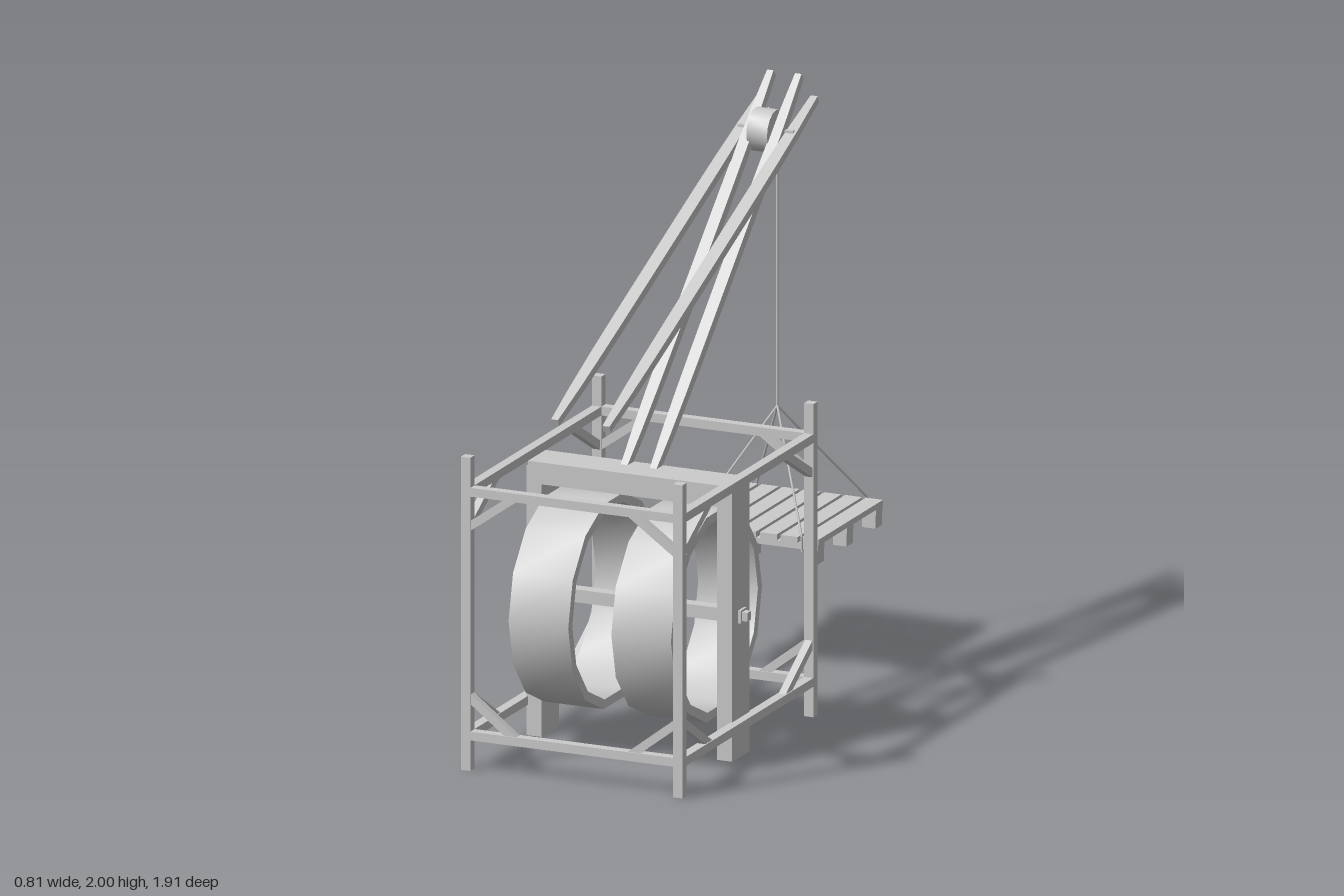
import * as THREE from 'three';
import { toCreasedNormals } from 'three/addons/utils/BufferGeometryUtils.js';

const grey = new THREE.MeshStandardMaterial({ color: 0xcccccc });

export function createModel() {
  const root = new THREE.Group();
  root.name = 'treadwheelCrane';

  const group = (name) => {
    const g = new THREE.Group();
    g.name = name;
    root.add(g);
    return g;
  };
  const add = (parent, name, geo, x = 0, y = 0, z = 0) => {
    const m = new THREE.Mesh(geo, grey);
    m.name = name;
    m.position.set(x, y, z);
    parent.add(m);
    return m;
  };
  const box = (parent, name, w, h, d, x, y, z) =>
    add(parent, name, new THREE.BoxGeometry(w, h, d), x, y, z);
  // Aims a geometry lying along z from point a to point b
  const span = (parent, name, geo, a, b) => {
    const p = new THREE.Vector3(...a), q = new THREE.Vector3(...b);
    const m = add(parent, name, geo);
    m.position.copy(p).add(q).multiplyScalar(0.5);
    m.lookAt(q);
    return m;
  };
  const dist = (a, b) => Math.hypot(a[0] - b[0], a[1] - b[1], a[2] - b[2]);
  const bar = (parent, name, a, b, w, h) =>
    span(parent, name, new THREE.BoxGeometry(w, h, dist(a, b)), a, b);
  const rope = (parent, name, a, b) =>
    span(parent, name, new THREE.CylinderGeometry(0.004, 0.004, dist(a, b), 6).rotateX(Math.PI / 2), a, b);
  // Pole that narrows towards both ends
  const pole = (parent, name, a, b, w, h) => {
    const len = dist(a, b);
    const geo = new THREE.BoxGeometry(w, h, len, 1, 1, 10);
    const p = geo.attributes.position;
    for (let i = 0; i < p.count; i++) {
      const t = Math.abs(p.getZ(i)) / (len / 2);
      const s = 1 - 0.45 * t ** 4;
      p.setXYZ(i, p.getX(i) * s, p.getY(i) * (1 - 0.15 * t ** 4), p.getZ(i));
    }
    geo.computeVertexNormals();
    return span(parent, name, geo, a, b);
  };

  // Outer frame: corner posts, rails and corner braces
  const frame = group('frame');
  const X = 0.384, ZF = 0.936, ZB = -0.1, T = 0.034;
  const zMid = (ZF + ZB) / 2;
  for (const s of [-1, 1]) {
    for (const [z, inward] of [[ZF, -1], [ZB, 1]]) {
      box(frame, 'cornerPost', T, 1.075, T, s * X, 0.5375, z);
      for (const [rail, drop] of [[0.957, -0.122], [0.12, 0.132]]) {
        bar(frame, 'endBrace', [s * 0.376, rail + drop, z], [s * 0.205, rail, z], 0.026, 0.028);
        bar(frame, 'sideBrace', [s * X, rail + drop, z + inward * 0.008],
          [s * X, rail, z + inward * 0.225], 0.026, 0.028);
      }
    }
    for (const y of [0.957, 0.12]) box(frame, 'sideRail', T, 0.03, ZF - ZB, s * X, y, zMid);
  }
  for (const z of [ZF, ZB])
    for (const y of [0.957, 0.12]) box(frame, 'endRail', 2 * X, 0.03, T, 0, y, z);

  // Heavy central portal that carries the axle
  const portal = group('portal');
  const PZ = 0.428;
  for (const s of [-1, 1]) {
    box(portal, 'portalPost', 0.055, 0.925, 0.138, s * 0.345, 0.4625, PZ);
    box(portal, 'axleEnd', 0.03, 0.03, 0.03, s * 0.388, 0.485, PZ);
  }
  box(portal, 'portalBeam', 0.735, 0.075, 0.138, 0, 0.905, PZ);
  box(portal, 'axle', 0.765, 0.044, 0.046, 0, 0.485, PZ);

  // Pair of fourteen-sided hollow treadwheels
  const wheels = group('treadwheels');
  const R = 0.36, r = 0.328, half = 0.108;
  const profile = [[r, half], [r, -half], [R, -half], [R, half], [r, half]]
    .map(([a, b]) => new THREE.Vector2(a, b));
  const wheelGeo = toCreasedNormals(new THREE.LatheGeometry(profile, 14).rotateZ(Math.PI / 2), 0.6);
  for (const s of [-1, 1]) add(wheels, 'treadwheel', wheelGeo, s * 0.186, 0.485, 0.45);

  // Boom: steep inner jibs and shallower outer poles
  const boom = group('boom');
  for (const [s, foot, tip] of [[-1, -0.06, -0.048], [1, 0.045, 0.053]]) {
    pole(boom, 'innerJib', [foot, 0.915, 0.415], [tip, 1.985, -0.733], 0.042, 0.034);
    pole(boom, 'outerPole', [s * 0.093, 1.21, 0.88], [s * 0.09, 1.9, -0.773], 0.046, 0.03);
  }

  // Pulley at the crossing of the poles
  const pulleyGeo = new THREE.CylinderGeometry(0.073, 0.073, 0.075, 16).rotateZ(Math.PI / 2);
  add(boom, 'pulley', toCreasedNormals(pulleyGeo, 0.6), -0.002, 1.832, -0.587);
  box(boom, 'pulleyPin', 0.2, 0.02, 0.02, 0, 1.832, -0.587);

  // Hoisting rope and sling
  const ropes = group('ropes');
  const RX = -0.004, RZ = -0.682, knot = [RX, 0.86, RZ];
  const path = [[RX, 1.9, -0.61], [RX, 1.85, -0.655], [RX, 1.79, RZ], knot];
  for (let i = 0; i < 3; i++) rope(ropes, 'hoistRope', path[i], path[i + 1]);
  for (const s of [-1, 1]) {
    const x = s * 0.2;
    for (const z of [-0.43, -0.948]) {
      rope(ropes, 'slingRope', knot, [x, 0.5, z]);
      rope(ropes, 'slingRope', [x, 0.5, z], [x, 0.455, z]);
    }
    rope(ropes, 'slingRope', [x, 0.453, -0.43], [x, 0.453, -0.948]);
  }

  // Pallet: deck slats, cross boards and nine feet
  const pallet = group('pallet');
  const PC = -0.688;
  for (let i = -3; i <= 3; i++)
    box(pallet, 'deckSlat', 0.062, 0.02, 0.51, i * 0.0755 + 0.002, 0.488, PC);
  for (let i = -1; i <= 1; i++) {
    box(pallet, 'crossBoard', 0.51, 0.02, 0.052, 0.002, 0.468, PC + i * 0.229);
    for (let j = -1; j <= 1; j++)
      box(pallet, 'foot', 0.05, 0.046, 0.05, j * 0.229 + 0.002, 0.435, PC + i * 0.229);
  }

  return root;
}
